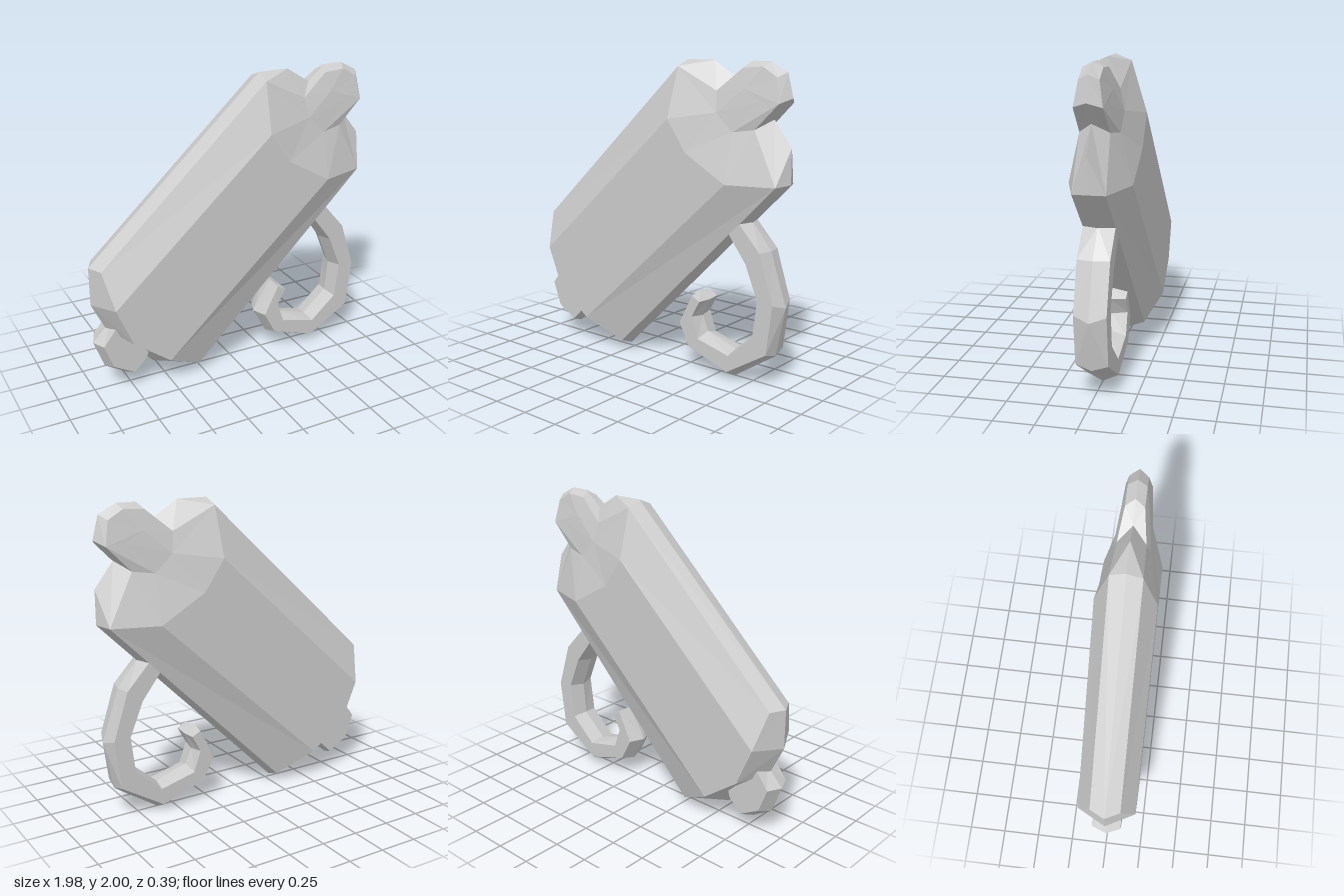
import * as THREE from 'three';

const material = new THREE.MeshStandardMaterial({ color: 0xcccccc, flatShading: true });

// Builds a mesh from polygons of the front half and mirrors them to the back.
function mirroredMesh(name, polygons) {
  const pos = [];
  for (const poly of polygons) {
    for (let i = 1; i < poly.length - 1; i++) {
      const [a, b, c] = [poly[0], poly[i], poly[i + 1]];
      pos.push(...a, ...b, ...c);
      for (const p of [a, c, b]) pos.push(p[0], p[1], -p[2]);
    }
  }
  const geometry = new THREE.BufferGeometry();
  geometry.setAttribute('position', new THREE.Float32BufferAttribute(pos, 3));
  geometry.computeVertexNormals();
  const mesh = new THREE.Mesh(geometry, material);
  mesh.name = name;
  return mesh;
}

// Named corners: 0 = middle ridge, 1 = bevel, P = flat face, N = neck, T/U/M = head
const corners = {
  A0: [-0.99, 0.89, 0], B0: [0.21, 2, 0], C0: [0.42, 2, 0], D0: [0.58, 1.9, 0],
  E0: [0.86, 1.66, 0], F0: [0.985, 1.5, 0], G0: [0.985, 1.28, 0], H0: [-0.28, 0.02, 0],
  I0: [-0.58, 0.11, 0], J0: [-0.89, 0.42, 0], K0: [-0.99, 0.63, 0],
  A1: [-0.94, 0.89, 0.1], B1: [0.21, 1.96, 0.1], G1: [0.94, 1.27, 0.1], H1: [-0.28, 0.06, 0.1],
  P1: [-0.89, 0.65, 0.195], P2: [0.2, 1.64, 0.195], P3: [0.34, 1.44, 0.195],
  P4: [0.64, 1.27, 0.195], P5: [-0.53, 0.2, 0.195], P6: [-0.78, 0.39, 0.195],
  N1: [0.5, 1.82, 0.09], N2: [0.52, 1.69, 0.12], N3: [0.64, 1.58, 0.12], N4: [0.78, 1.6, 0.09],
  T1: [0.67, 1.96, 0.06], T2: [0.81, 1.97, 0.06], T3: [0.91, 1.91, 0.06], T4: [0.94, 1.76, 0.085],
  U1: [0.7, 2, 0], U2: [0.83, 2, 0], U3: [0.945, 1.94, 0], U4: [0.985, 1.79, 0],
  M1: [0.7, 1.84, 0.09], M2: [0.82, 1.77, 0.09],
};
const faces = (list) => list.map((f) => f.split(' ').map((k) => corners[k]));

// Bevelled slab with tapering shoulders
function body() {
  return mirroredMesh('body', faces([
    'P1 P6 P5 P4 P3 P2',
    'A1 P1 P2 B1', 'A0 A1 B1 B0',
    'P5 H1 G1 P4', 'H1 H0 G0 G1',
    'A0 K0 P1 A1', 'K0 J0 P6 P1', 'J0 I0 P5 P6', 'I0 H0 H1 P5',
    'B0 B1 C0', 'C0 B1 N1 D0', 'B1 P2 N2 N1', 'P2 P3 N2',
    'P3 P4 N3 N2', 'P4 G1 N4 N3', 'G1 F0 E0 N4', 'G1 G0 F0',
  ]));
}

// Small rounded head growing from the neck
function head() {
  return mirroredMesh('head', faces([
    'D0 N1 T1 U1', 'U1 T1 T2 U2', 'U2 T2 T3 U3', 'U3 T3 T4 U4', 'U4 T4 N4 E0',
    'N1 N2 M1 T1', 'N2 N3 M2 M1', 'N3 N4 T4 M2', 'M1 M2 T4 T3 T2 T1',
  ]));
}

// Curled tail: each section has an outer ridge, outer bevel, inner bevel, inner ridge
function tail() {
  const sections = [
    [0.60, 1.12, 0.58, 1.12, 0.50, 1.04, 0.48, 1.03],
    [0.72, 1.03, 0.69, 1.02, 0.61, 0.95, 0.60, 0.93],
    [0.86, 0.86, 0.84, 0.86, 0.74, 0.78, 0.71, 0.77],
    [0.975, 0.52, 0.94, 0.55, 0.83, 0.56, 0.80, 0.55],
    [0.91, 0.20, 0.90, 0.23, 0.80, 0.32, 0.78, 0.33],
    [0.61, 0.00, 0.61, 0.05, 0.62, 0.16, 0.61, 0.18],
    [0.29, 0.12, 0.31, 0.15, 0.38, 0.22, 0.39, 0.25],
    [0.19, 0.30, 0.23, 0.30, 0.33, 0.36, 0.345, 0.35],
    [0.32, 0.515, 0.33, 0.50, 0.39, 0.47, 0.395, 0.465],
  ].map((s) => [0, 0.1, 0.1, 0].map((z, i) => [s[2 * i], s[2 * i + 1], z]));
  const polygons = [sections.at(-1)];
  for (let i = 0; i < sections.length - 1; i++) {
    const [a, b] = [sections[i], sections[i + 1]];
    for (let k = 0; k < 3; k++) polygons.push([a[k], a[k + 1], b[k + 1], b[k]]);
  }
  return mirroredMesh('tail', polygons);
}

// Short bevelled stub at the lower end
function stub() {
  const rim = [[-0.87, 0.48], [-0.99, 0.355], [-0.92, 0.165], [-0.78, 0.08], [-0.65, 0.2], [-0.6, 0.42]];
  const face = [[-0.87, 0.465], [-0.95, 0.36], [-0.89, 0.2], [-0.75, 0.12], [-0.66, 0.21], [-0.6, 0.42]];
  const o = rim.map(([x, y]) => [x, y, 0]);
  const p = face.map(([x, y]) => [x, y, 0.1]);
  const sides = o.map((v, i) => {
    const j = (i + 1) % o.length;
    return [v, o[j], p[j], p[i]];
  });
  return mirroredMesh('stub', [p, ...sides]);
}

export function createModel() {
  const group = new THREE.Group();
  group.add(body(), head(), tail(), stub());
  return group;
}
